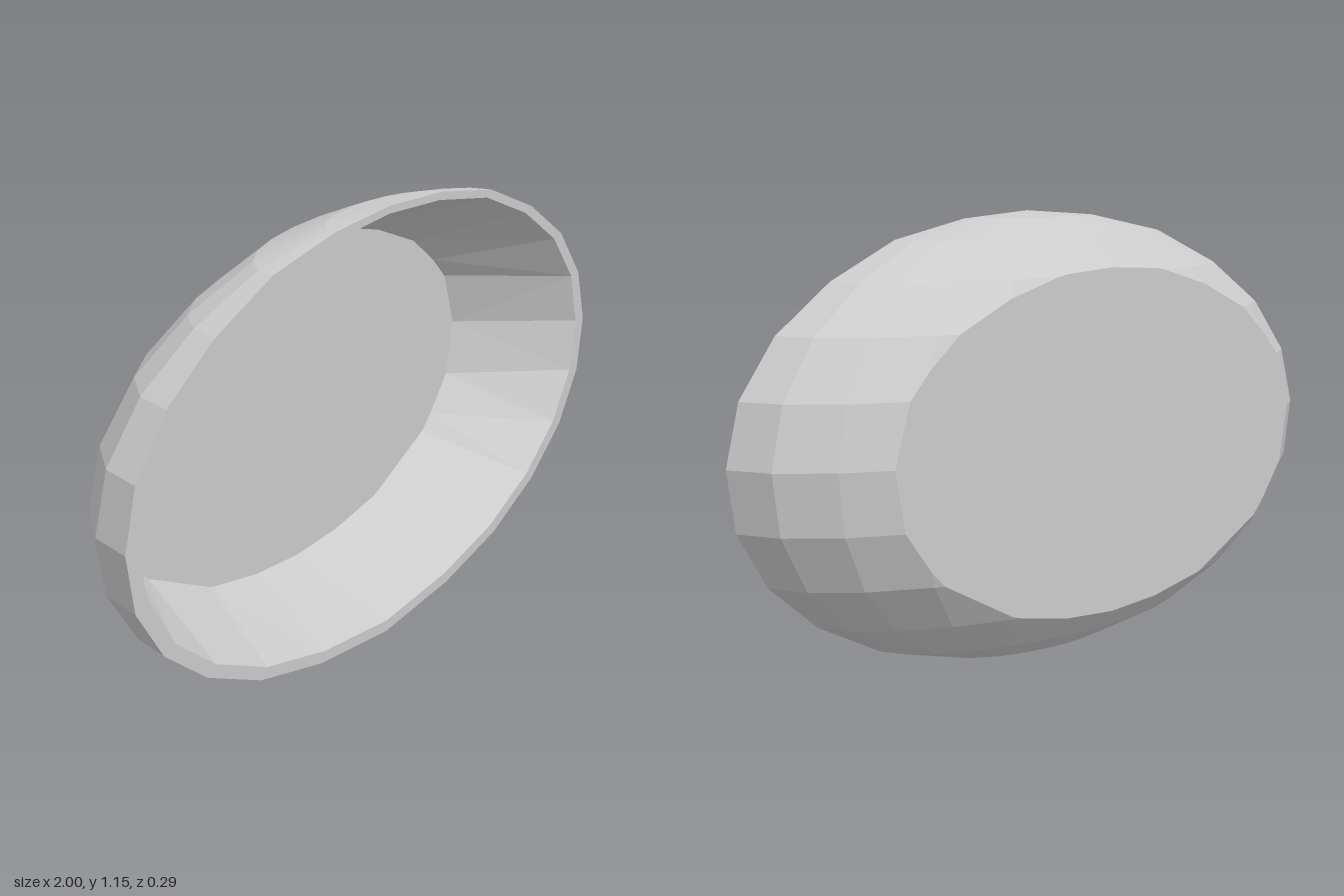
import * as THREE from 'three';

const FRONT = 0.145, BACK = -0.145, DEPTH = 0.45, SEGMENTS = 12;

// Half width and height of each horizontal row of the shell, top to bottom
const ROWS = [
  [0, 1.15], [0.23, 1.135], [0.47, 1.09], [0.68, 1.0], [0.85, 0.885], [0.96, 0.745], [1, 0.595],
  [0.975, 0.445], [0.885, 0.305], [0.735, 0.185], [0.535, 0.09], [0.29, 0.03], [0, 0],
];

const angleOf = (p) => Math.atan2((p.y - 0.58) / 0.56, p.x);
const sortByAngle = (points) => points.sort((a, b) => angleOf(a) - angleOf(b));

function shellPoint(row, segment) {
  const [r, y] = ROWS[row];
  const a = (segment / SEGMENTS) * Math.PI;
  return new THREE.Vector3(r * Math.cos(a), y, FRONT - DEPTH * r * Math.sin(a));
}

// Keep the part of a polygon in front of the flat base; collect the cut points
function clipAtBase(polygon, cuts) {
  const kept = [];
  polygon.forEach((p, i) => {
    const q = polygon[(i + 1) % polygon.length];
    if (p.z >= BACK) kept.push(p);
    if ((p.z >= BACK) !== (q.z >= BACK)) {
      const cut = p.clone().lerp(q, (BACK - p.z) / (q.z - p.z));
      kept.push(cut);
      if (!cuts.some((c) => c.distanceTo(cut) < 0.001)) cuts.push(cut);
    }
  });
  return kept;
}

// Unshared triangles give flat facets
function facetGeometry(triangles) {
  const geometry = new THREE.BufferGeometry().setFromPoints(triangles);
  geometry.computeVertexNormals();
  return geometry;
}

// Join two loops with different point counts, walking both by angle
function bridge(front, back) {
  const triangles = [];
  const at = (loop, i) => loop[i % loop.length];
  const turn = (loop, i) => angleOf(at(loop, i)) + (i >= loop.length ? Math.PI * 2 : 0);
  let i = 0, j = 0;
  while (i < front.length || j < back.length) {
    const moveFront = j >= back.length || (i < front.length && turn(front, i + 1) <= turn(back, j + 1));
    if (moveFront) {
      triangles.push(at(front, i), at(front, i + 1), at(back, j));
      i++;
    } else {
      triangles.push(at(front, i), at(back, j + 1), at(back, j));
      j++;
    }
  }
  return triangles;
}

export function createModel() {
  const group = new THREE.Group();
  group.name = 'ovalDish';
  const material = new THREE.MeshStandardMaterial({ color: 0xcccccc, flatShading: true, side: THREE.DoubleSide });
  const add = (name, geometry) => {
    const mesh = new THREE.Mesh(geometry, material);
    mesh.name = name;
    group.add(mesh);
  };

  // Outer shell: half an ellipsoid cut off flat at the base
  const shell = [], baseLoop = [];
  for (let row = 0; row < ROWS.length - 1; row++) {
    for (let s = 0; s < SEGMENTS; s++) {
      let quad = [shellPoint(row, s), shellPoint(row + 1, s), shellPoint(row + 1, s + 1), shellPoint(row, s + 1)];
      if (row === 0) quad = quad.slice(0, 3);
      if (row === ROWS.length - 2) quad.splice(2, 1);
      const face = clipAtBase(quad, baseLoop);
      for (let k = 1; k < face.length - 1; k++) shell.push(face[0], face[k], face[k + 1]);
    }
  }
  add('outerShell', facetGeometry(shell));

  // Flat rim between the outer and inner ovals
  const outerLoop = [
    ...ROWS.map(([r, y]) => new THREE.Vector3(r, y, FRONT)),
    ...ROWS.slice(1, -1).map(([r, y]) => new THREE.Vector3(-r, y, FRONT)),
  ];
  sortByAngle(outerLoop);
  const innerLoop = outerLoop.map((p) => new THREE.Vector3(p.x * 0.957, 0.03 + p.y * (1.1 / 1.15), FRONT));
  sortByAngle(innerLoop);
  const flat = (loop) => loop.map((p) => new THREE.Vector2(p.x, p.y));
  const rimShape = new THREE.Shape(flat(outerLoop));
  rimShape.holes.push(new THREE.Path(flat(innerLoop)));
  add('rim', new THREE.ShapeGeometry(rimShape).translate(0, 0, FRONT));

  // Sloping inside wall and thin floor
  sortByAngle(baseLoop);
  add('innerWall', facetGeometry(bridge(innerLoop, baseLoop)));
  add('floor', new THREE.ShapeGeometry(new THREE.Shape(flat(baseLoop))).translate(0, 0, BACK));

  return group;
}
